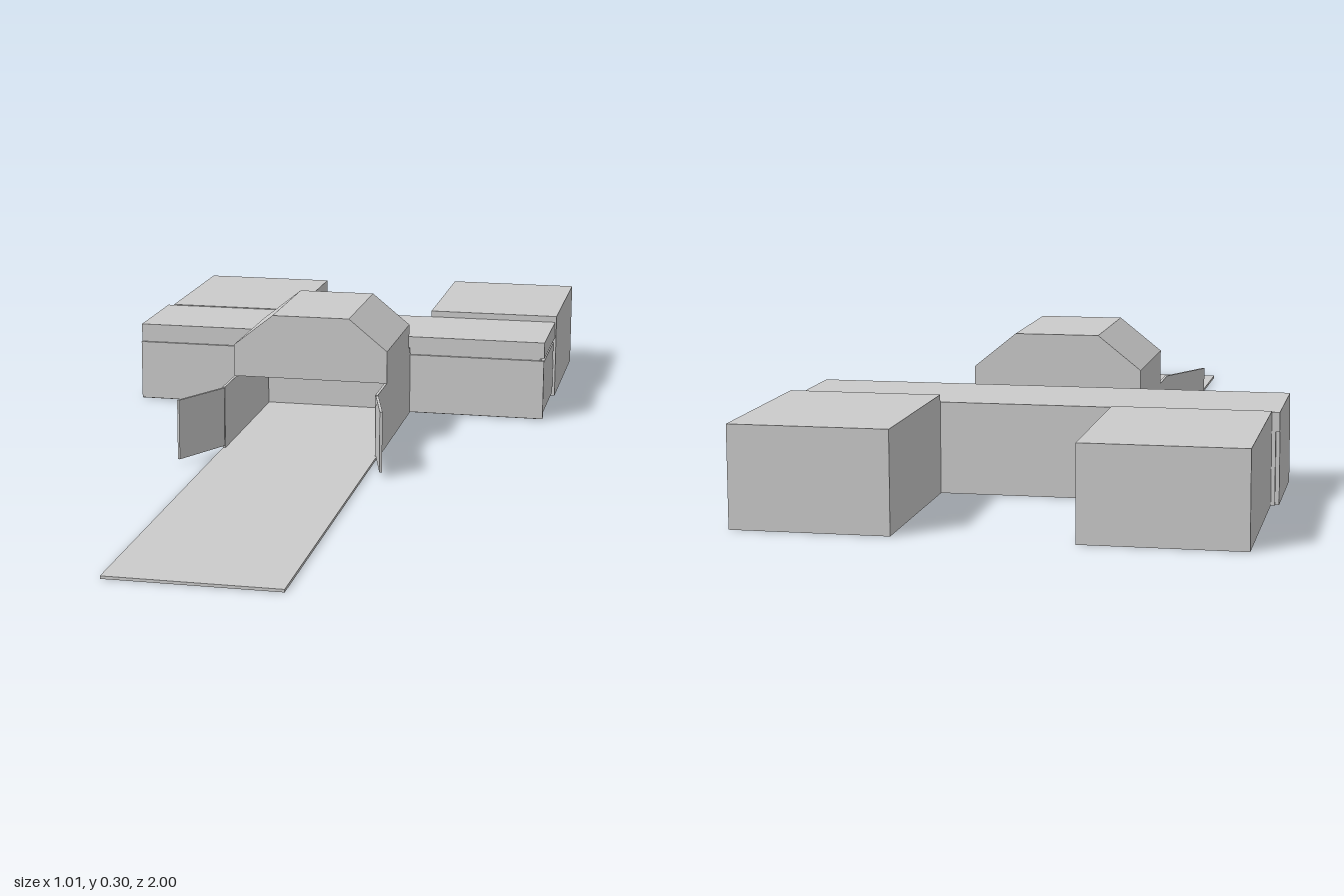
import * as THREE from 'three';

export function createModel() {
  const model = new THREE.Group();
  const material = new THREE.MeshStandardMaterial({
    color: 0xcccccc, flatShading: true, side: THREE.DoubleSide,
  });

  function add(name, geometry) {
    const mesh = new THREE.Mesh(geometry, material);
    mesh.name = name;
    model.add(mesh);
    return mesh;
  }

  // Box given by its limits on each axis
  function block(name, [x0, x1], [y0, y1], [z0, z1]) {
    const mesh = add(name, new THREE.BoxGeometry(x1 - x0, y1 - y0, z1 - z0));
    mesh.position.set((x0 + x1) / 2, (y0 + y1) / 2, (z0 + z1) / 2);
    return mesh;
  }

  // Long entrance path, running on as the floor of the open hall
  block('path', [-0.187, 0.173], [0, 0.006], [-0.36, 1]);

  // Hall side walls
  block('hallWallRight', [-0.187, -0.181], [0, 0.15], [-0.355, 0.075]);
  block('hallWallLeft', [0.169, 0.175], [0, 0.15], [-0.355, 0.075]);

  // Raised hall roof with chamfered shoulders
  const outline = [
    [-0.187, 0.15], [0.175, 0.15], [0.175, 0.225],
    [0.085, 0.298], [-0.095, 0.298], [-0.187, 0.225],
  ];
  const roof = add('hallRoof', new THREE.ExtrudeGeometry(
    new THREE.Shape(outline.map(([x, y]) => new THREE.Vector2(x, y))),
    { depth: 0.3, bevelEnabled: false }));
  roof.position.z = -0.337;

  // Low strip joining the hall to the cross building
  block('roofJoint', [-0.187, 0.175], [0.145, 0.165], [-0.348, -0.337]);
  block('roofJointRear', [-0.187, 0.175], [0.14, 0.15], [-0.36, -0.348]);

  // Splayed entrance doors, from hinge to free edge
  function door(name, hinge, edge) {
    const dx = edge[0] - hinge[0], dz = edge[1] - hinge[1];
    const mesh = add(name, new THREE.BoxGeometry(0.006, 0.137, Math.hypot(dx, dz)));
    mesh.position.set((hinge[0] + edge[0]) / 2, 0.0805, (hinge[1] + edge[1]) / 2);
    mesh.rotation.y = Math.atan2(dx, dz);
  }
  door('doorRight', [-0.184, 0.078], [-0.254, 0.21]);
  door('doorLeft', [0.174, 0.078], [0.209, 0.217]);

  // Cross building with overhanging roof and front panels
  block('crossBody', [-0.5, 0.492], [0, 0.15], [-0.6, -0.36]);
  block('crossRoof', [-0.508, 0.502], [0.15, 0.19], [-0.6, -0.36]);
  block('frontPanelRight', [-0.508, -0.187], [0.002, 0.146], [-0.362, -0.354]);
  block('frontPanelLeft', [0.175, 0.502], [0.002, 0.146], [-0.362, -0.354]);
  block('endPanelRight', [-0.508, -0.5], [0, 0.15], [-0.592, -0.36]);
  block('endPanelLeft', [0.492, 0.5], [0.012, 0.14], [-0.59, -0.372]);

  // Two rear wings
  block('wingRight', [-0.492, -0.168], [0, 0.192], [-1, -0.598]);
  block('wingLeft', [0.187, 0.505], [0, 0.205], [-0.997, -0.6]);

  return model;
}
